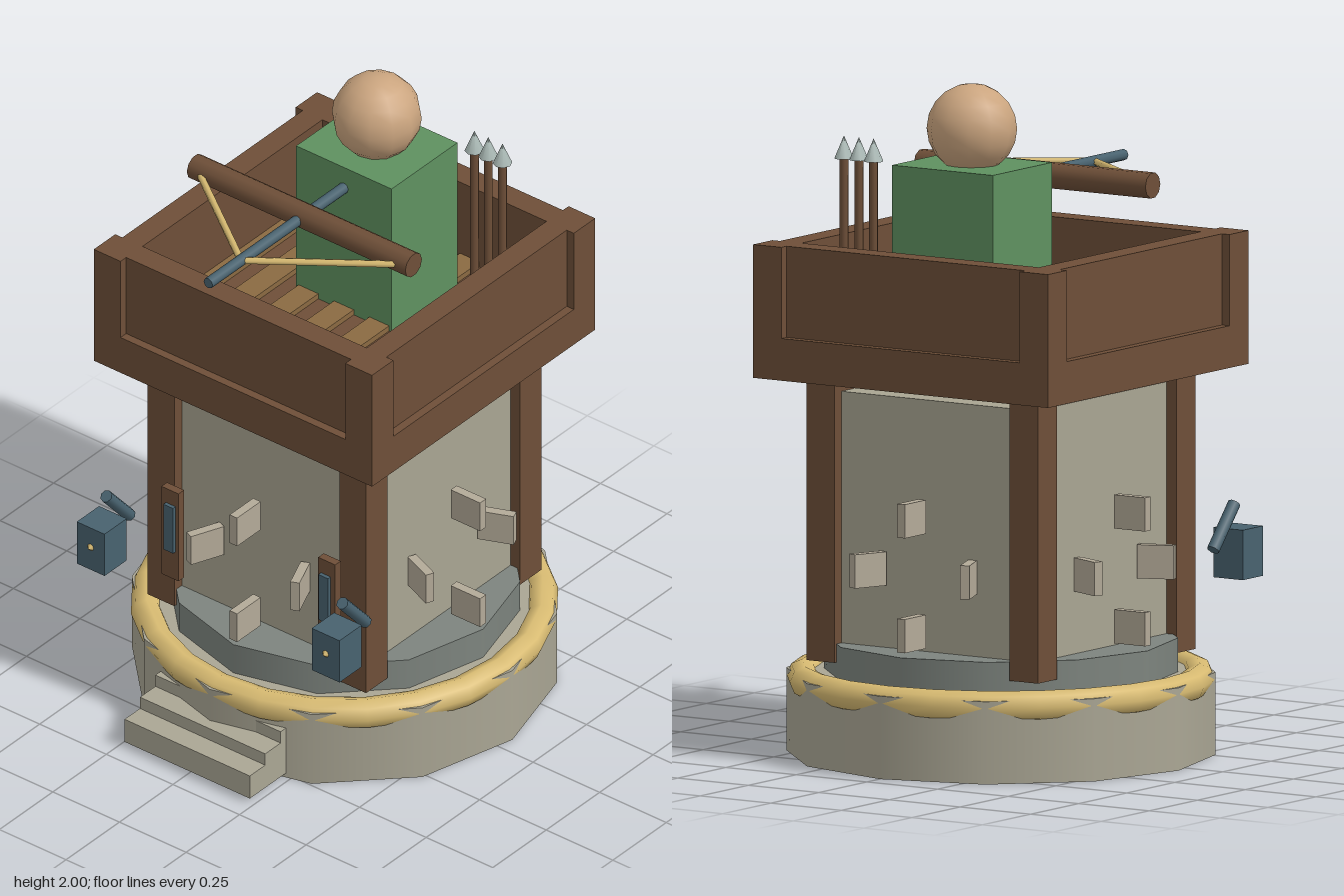
import * as THREE from 'three';

const CZ = -0.053; // z of the tower axis
const mat = (color) => new THREE.MeshStandardMaterial({ color });
const M = {
  base: mat(0xaaa694), ring: mat(0x7d847e), core: mat(0xa9a592), brick: mat(0xb3aa98),
  wood: mat(0x6e4f38), plank: mat(0x8a6a42), rope: mat(0xd8bb72), slate: mat(0x48626f),
  cloth: mat(0x5f9160), skin: mat(0xcba57f), steel: mat(0xa9b8b4),
};

export function createModel() {
  const root = new THREE.Group();

  const add = (name, geo, material, x = 0, y = 0, z = 0, parent = root) => {
    const m = new THREE.Mesh(geo, material);
    m.name = name;
    m.position.set(x, y, z);
    parent.add(m);
    return m;
  };
  // Box given by its size and centre
  const box = (name, material, w, h, d, x, y, z, parent = root) =>
    add(name, new THREE.BoxGeometry(w, h, d), material, x, y, z, parent);
  // Cylinder running between two points
  const rod = (name, material, r, a, b, sides = 8) => {
    const p = new THREE.Vector3(...a), q = new THREE.Vector3(...b);
    const dir = q.clone().sub(p);
    const m = add(name, new THREE.CylinderGeometry(r, r, dir.length(), sides), material);
    m.position.copy(p).add(q).multiplyScalar(0.5);
    m.quaternion.setFromUnitVectors(new THREE.Vector3(0, 1, 0), dir.normalize());
    return m;
  };

  // Round foundation with rope ring
  add('foundation', new THREE.CylinderGeometry(0.63, 0.63, 0.245, 12), M.base, 0, 0.1225, CZ);
  add('plinth', new THREE.CylinderGeometry(0.52, 0.52, 0.1, 12), M.ring, 0, 0.295, CZ);
  add('ropeRing', new THREE.TorusGeometry(0.583, 0.046, 8, 24), M.rope, 0, 0.224, CZ).rotation.x = Math.PI / 2;

  // Entrance steps
  for (let i = 0; i < 3; i++)
    box('step', M.base, 0.47, 0.08, 0.17, 0, 0.055 + i * 0.04, 0.598 - i * 0.072);

  // Stone core and corner posts
  box('towerCore', M.core, 0.75, 0.745, 0.75, 0, 0.7175, CZ);
  for (const sx of [-1, 1]) for (const sz of [-1, 1])
    box('cornerPost', M.wood, 0.1, 0.85, 0.1, sx * 0.36, 0.715, CZ + sz * 0.36);

  // Stones set edge-on around the core, middle row staggered
  [0.41, 0.58, 0.75].forEach((y, row) => {
    for (let i = 0; i < 8; i++) {
      const a = ((i + (row === 1 ? 0.5 : 0)) * Math.PI) / 4;
      box('stone', M.brick, 0.028, 0.1, 0.11, 0.465 * Math.sin(a), y, CZ + 0.465 * Math.cos(a)).rotation.y = a;
    }
  });

  // Platform slab, planks and parapet
  box('platformSlab', M.wood, 1.044, 0.125, 1.044, 0, 1.1925, CZ);
  for (let i = -3; i <= 3; i++)
    box('floorPlank', M.plank, 0.074, 0.02, 0.86, i * 0.133, 1.263, CZ);
  const parapet = new THREE.Group();
  parapet.name = 'parapet';
  parapet.position.z = CZ;
  root.add(parapet);
  for (let i = 0; i < 4; i++) {
    const side = new THREE.Group();
    side.name = 'parapetSide';
    side.rotation.y = (i * Math.PI) / 2;
    parapet.add(side);
    box('parapetWall', M.wood, 0.844, 0.275, 0.075, 0, 1.3875, 0.458, side);
    box('parapetCorner', M.wood, 0.1, 0.275, 0.1, 0.472, 1.3875, 0.472, side);
    add('cornerKnob', new THREE.SphereGeometry(0.022, 8, 6), M.rope, 0.402, 1.4, 0.4, side);
  }

  // Window frames and hanging lanterns on the front
  for (const s of [-1, 1]) {
    box('windowFrame', M.wood, 0.064, 0.31, 0.026, s * 0.294, 0.575, 0.384);
    box('windowSlit', M.slate, 0.036, 0.16, 0.03, s * 0.291, 0.6, 0.394);
    box('lantern', M.slate, 0.104, 0.148, 0.104, s * 0.441, 0.559, 0.533);
    rod('lanternArm', M.slate, 0.019, [s * 0.443, 0.58, 0.4], [s * 0.443, 0.705, 0.51]);
    add('lanternStud', new THREE.ConeGeometry(0.012, 0.014, 8), M.rope, s * 0.441, 0.565, 0.591).rotation.x = Math.PI / 2;
  }

  // Lookout figure
  box('body', M.cloth, 0.358, 0.51, 0.308, 0, 1.507, -0.204);
  add('head', new THREE.SphereGeometry(0.133, 12, 10), M.skin, 0, 1.867, -0.204);

  // Crossbow with stock, bow and strings
  rod('crossbowBow', M.wood, 0.039, [-0.41, 1.69, 0.135], [0.41, 1.69, 0.135], 10);
  rod('crossbowStock', M.slate, 0.017, [0, 1.69, -0.06], [0, 1.69, 0.585]);
  for (const s of [-1, 1])
    rod('crossbowString', M.rope, 0.011, [s * 0.365, 1.69, 0.165], [0, 1.69, 0.432], 6);

  // Spare arrows standing behind the figure
  for (const x of [0.246, 0.298, 0.351]) {
    rod('arrowShaft', M.wood, 0.013, [x, 1.255, -0.354], [x, 1.775, -0.354]);
    add('arrowHead', new THREE.ConeGeometry(0.029, 0.068, 8), M.steel, x, 1.801, -0.354);
  }

  return root;
}
